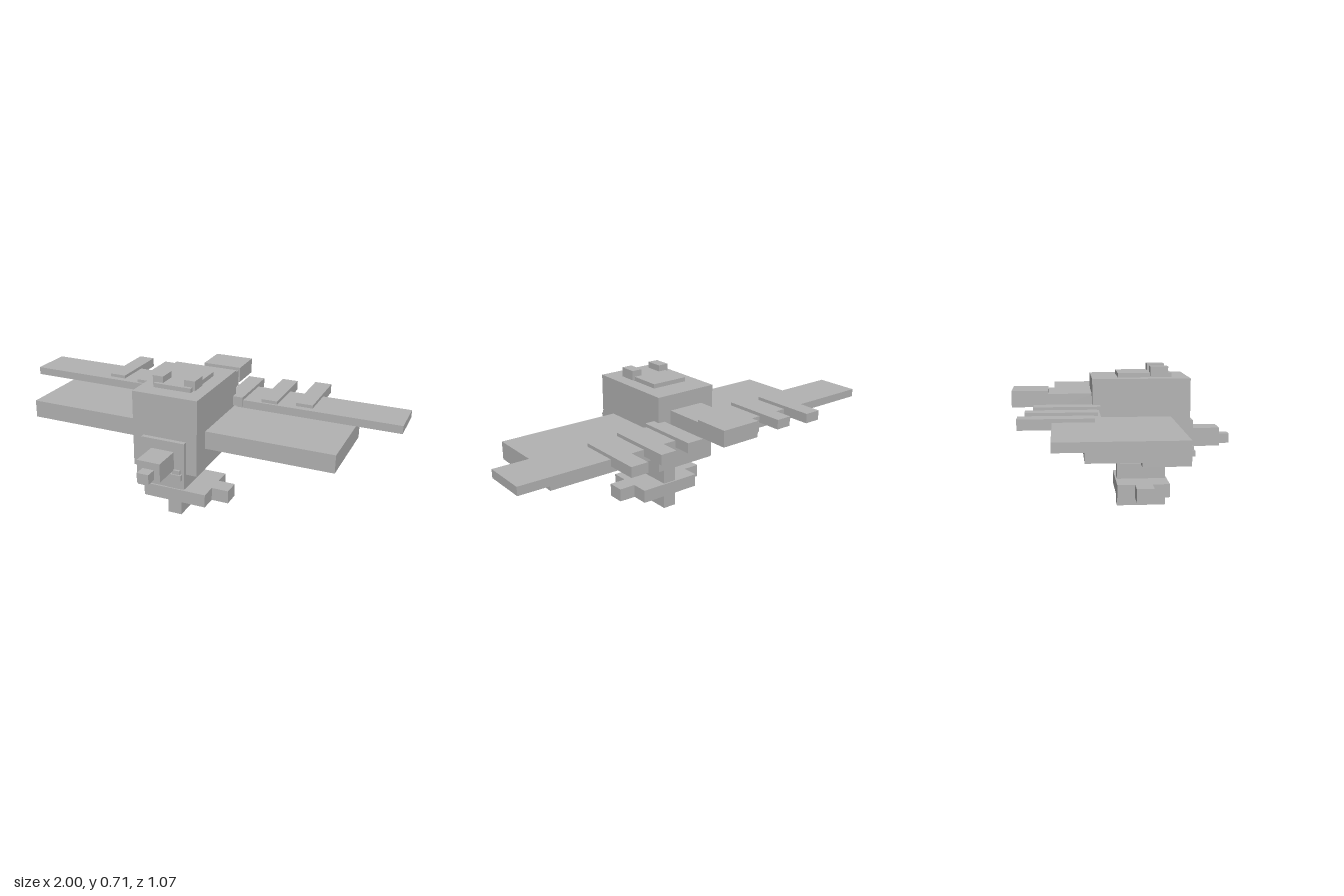
import * as THREE from 'three';

export function createModel() {
  const model = new THREE.Group();
  model.name = 'blockFlyer';
  const grey = new THREE.MeshStandardMaterial({ color: 0xb2b2b2 });
  grey.name = 'grey';

  // Box from its extents along each axis
  function block(name, [x0, x1], [y0, y1], [z0, z1]) {
    const mesh = new THREE.Mesh(new THREE.BoxGeometry(x1 - x0, y1 - y0, z1 - z0), grey);
    mesh.position.set((x0 + x1) / 2, (y0 + y1) / 2, (z0 + z1) / 2);
    mesh.name = name;
    model.add(mesh);
  }
  const centred = (name, half, y, z) => block(name, [-half, half], y, z);
  function pair(name, [x0, x1], y, z) {
    block(name + 'Left', [x0, x1], y, z);
    block(name + 'Right', [-x1, -x0], y, z);
  }

  // Body and face
  centred('body', 0.164, [0.281, 0.655], [-0.153, 0.317]);
  centred('face', 0.11, [0.212, 0.445], [0.093, 0.34]);
  centred('beak', 0.058, [0.305, 0.396], [0.33, 0.482]);
  centred('beakTip', 0.029, [0.313, 0.361], [0.47, 0.537]);
  pair('nostrilBase', [0.045, 0.1], [0.26, 0.289], [0.33, 0.357]);
  pair('nostrilTop', [0.053, 0.092], [0.28, 0.309], [0.33, 0.351]);

  // Crown plate with two studs
  centred('crownPlate', 0.095, [0.645, 0.676], [-0.027, 0.233]);
  pair('crownStud', [0.054, 0.108], [0.66, 0.707], [0.13, 0.216]);

  // Main wing, thin rear wings and trailing feathers
  centred('mainWing', 0.783, [0.385, 0.473], [-0.21, 0.223]);
  pair('rearWing', [0.18, 1], [0.475, 0.515], [-0.341, -0.125]);
  const feathers = [
    [0.13, 0.215, -0.431, -0.116],
    [0.306, 0.388, -0.464, -0.137],
    [0.476, 0.561, -0.49, -0.159],
  ];
  for (const [x0, x1, z0, z1] of feathers) pair('feather', [x0, x1], [0.483, 0.531], [z0, z1]);

  // Tail
  centred('tail', 0.093, [0.495, 0.578], [-0.37, -0.14]);
  centred('tailTip', 0.102, [0.516, 0.594], [-0.537, -0.363]);

  // Leg and cross-shaped foot
  centred('leg', 0.035, [0, 0.216], [-0.027, 0.216]);
  centred('foot', 0.164, [0.072, 0.138], [-0.035, 0.223]);
  pair('toe', [0.16, 0.25], [0.072, 0.138], [0.052, 0.138]);

  return model;
}
